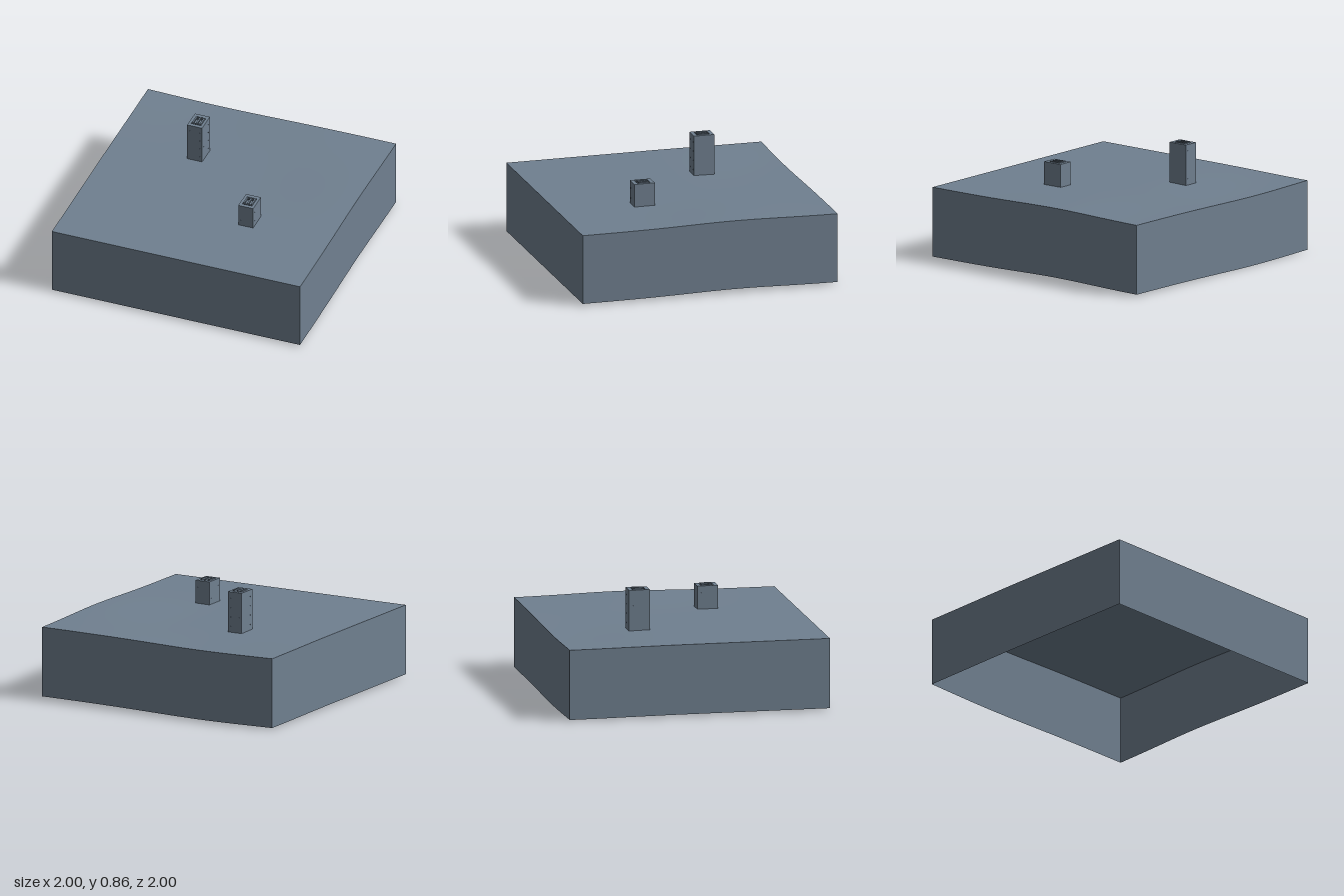
import * as THREE from 'three';

const slate = new THREE.MeshStandardMaterial({ color: 0x708090, side: THREE.DoubleSide });
slate.name = 'slate grey';

const SKIRT = 0.535; // height of the side walls

// Gently rolling ground: a rise along the +x side and a hollow at the back.
function groundHeight(x, z) {
  const rise = THREE.MathUtils.smoothstep(x, 0.1, 1) * Math.exp(-(((z + 0.2) / 0.5) ** 2));
  const hollow = THREE.MathUtils.smoothstep(-z, 0.1, 1) * Math.exp(-(((x + 0.4) / 0.6) ** 2));
  return 0.55 + 0.015 * rise - 0.015 * hollow;
}

function add(parent, name, geometry, x = 0, y = 0, z = 0) {
  const mesh = new THREE.Mesh(geometry, slate);
  mesh.name = name;
  mesh.position.set(x, y, z);
  parent.add(mesh);
  return mesh;
}

// Rolling top with side walls that follow it, open underneath.
function buildGround() {
  const geo = new THREE.BoxGeometry(2, SKIRT, 2, 28, 1, 28);
  const bottom = geo.groups[3];
  const index = Array.from(geo.index.array);
  index.splice(bottom.start, bottom.count);
  geo.setIndex(index);
  geo.clearGroups();
  const p = geo.attributes.position;
  for (let i = 0; i < p.count; i++) {
    p.setY(i, p.getY(i) - SKIRT / 2 + groundHeight(p.getX(i), p.getZ(i)));
  }
  geo.computeVertexNormals();
  return geo;
}

function rectangle(PathType, w, d) {
  const path = new PathType();
  path.moveTo(-w / 2, -d / 2);
  path.lineTo(w / 2, -d / 2);
  path.lineTo(w / 2, d / 2);
  path.lineTo(-w / 2, d / 2);
  path.closePath();
  return path;
}

// Rectangular shaft with a recessed opening, grille and small studs.
function buildShaft(name, x, z, top) {
  const W = 0.12, D = 0.16, HOLE_W = 0.08, HOLE_D = 0.1, RECESS = 0.03, BASE = 0.545;
  const shaft = new THREE.Group();
  shaft.name = name;
  shaft.position.set(x, 0, z);

  const outline = rectangle(THREE.Shape, W, D);
  outline.holes.push(rectangle(THREE.Path, HOLE_W, HOLE_D));
  const wall = new THREE.ExtrudeGeometry(outline, { depth: top - BASE, bevelEnabled: false });
  wall.rotateX(-Math.PI / 2);
  add(shaft, 'shaftWall', wall, 0, BASE, 0);
  add(shaft, 'openingFloor', new THREE.BoxGeometry(HOLE_W, 0.006, HOLE_D), 0, top - RECESS, 0);

  // Grille: three bars on two cross rails
  for (const bx of [-0.031, 0, 0.031]) {
    add(shaft, 'grilleBar', new THREE.BoxGeometry(0.012, 0.014, 0.08), bx, top, 0);
  }
  for (const bz of [-0.034, 0.034]) {
    add(shaft, 'grilleRail', new THREE.BoxGeometry(HOLE_W, 0.008, 0.008), 0, top - 0.006, bz);
  }

  // Studs down the four sides
  const rows = Math.max(2, Math.round((top - 0.55) / 0.075));
  for (let r = 0; r < rows; r++) {
    const y = 0.57 + (r + 0.3) * (top - 0.57) / rows;
    for (const side of [-1, 1]) {
      for (const k of [-1, 1]) {
        add(shaft, 'stud', new THREE.BoxGeometry(0.006, 0.006, 0.002), k * 0.038, y, side * D / 2);
        add(shaft, 'stud', new THREE.BoxGeometry(0.002, 0.006, 0.006), side * W / 2, y, k * 0.05);
      }
    }
  }
  return shaft;
}

export function createModel() {
  const model = new THREE.Group();
  model.name = 'groundWithShafts';
  add(model, 'ground', buildGround());
  model.add(buildShaft('tallShaft', -0.335, -0.335, 0.858));
  model.add(buildShaft('shortShaft', 0.335, 0.333, 0.728));
  return model;
}
